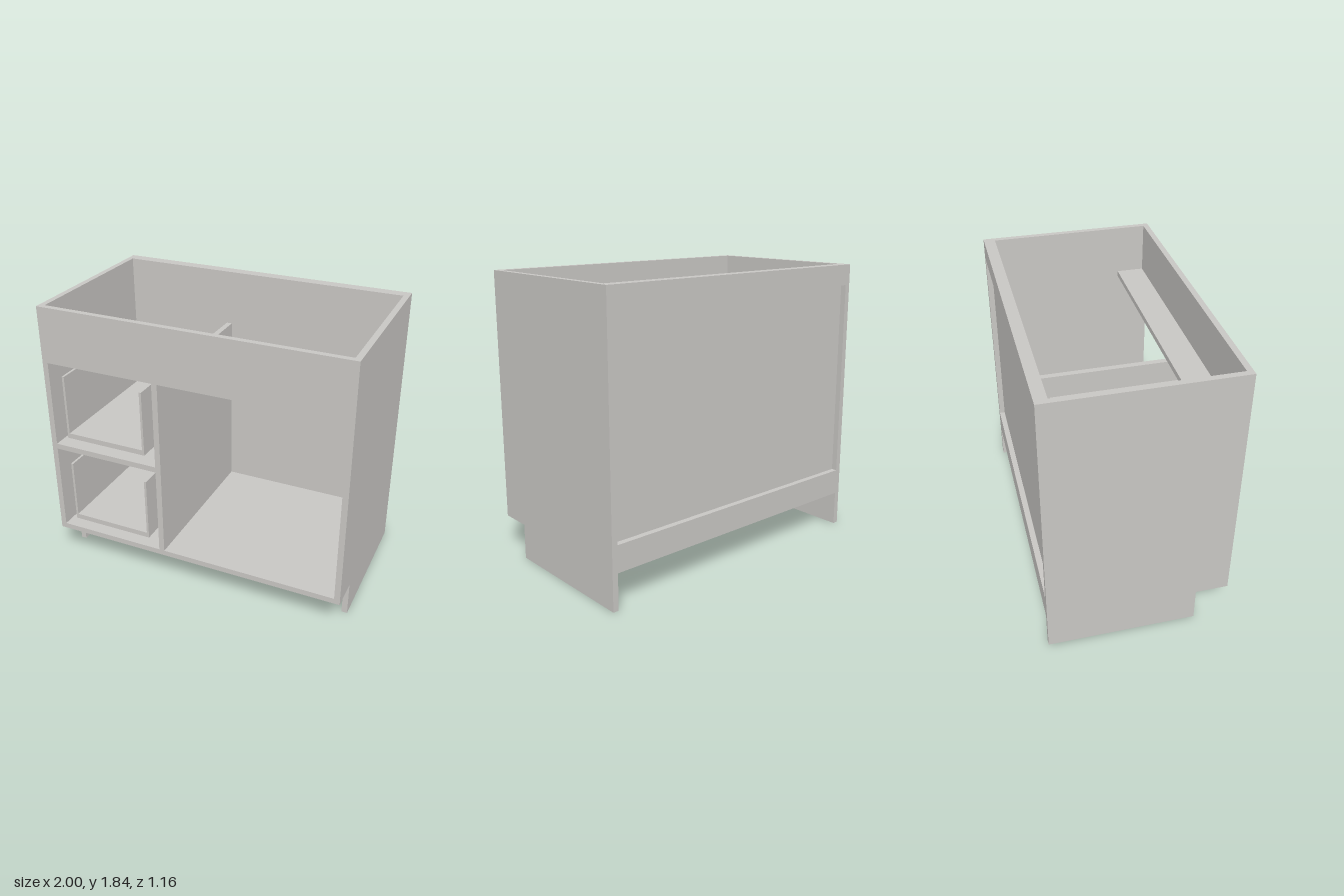
import * as THREE from 'three';

// Open-topped vanity cabinet carcass with two drawer boxes
export function createModel() {
  const root = new THREE.Group();
  root.name = 'vanityCabinet';
  const board = new THREE.MeshStandardMaterial({ color: 0xc8c6c3 });
  board.name = 'greyBoard';

  // Board given by its extents on each axis
  function panel(name, [x0, x1], [y0, y1], [z0, z1], parent = root) {
    const mesh = new THREE.Mesh(new THREE.BoxGeometry(x1 - x0, y1 - y0, z1 - z0), board);
    mesh.position.set((x0 + x1) / 2, (y0 + y1) / 2, (z0 + z1) / 2);
    mesh.name = name;
    parent.add(mesh);
  }

  const T = 0.037;              // board thickness
  const H = 1.835, D = 0.58;    // height, half depth
  const IN = 1 - T;             // inner face of the sides
  const floorY = 0.23, deckY = floorY + T;
  const openTop = 1.47;
  const span = [-IN, IN];

  // Side panels with the toe notch at the front
  const profile = new THREE.Shape([
    [-D, 0], [0.37, 0], [0.37, floorY], [D, floorY], [D, H], [-D, H],
  ].map(([z, y]) => new THREE.Vector2(-z, y)));
  const sideGeometry = new THREE.ExtrudeGeometry(profile, { depth: T, bevelEnabled: false });
  sideGeometry.rotateY(Math.PI / 2);
  for (const [name, x] of [['leftSide', IN], ['rightSide', -1]]) {
    const side = new THREE.Mesh(sideGeometry, board);
    side.position.x = x;
    side.name = name;
    root.add(side);
  }

  // Floor, front apron and the stretcher behind it
  panel('floor', span, [floorY, deckY], [-D, D]);
  panel('frontApron', span, [openTop, H], [D - T, D]);
  panel('frontStretcher', span, [openTop, openTop + T], [0.36, D - T]);

  // Recessed back panel with nailing rails
  panel('backPanel', span, [deckY, H], [-D + T, -D + 2 * T]);
  panel('backTopRail', span, [H - 0.135, H], [-D, -D + T]);
  panel('backBottomRail', span, [deckY, 0.4], [-D, -D + T]);

  // Divider and the rail between the drawer openings
  panel('divider', [-0.235, -0.198], [deckY, openTop], [-D + 2 * T, D]);
  panel('drawerRail', [-IN, -0.235], [0.86, 0.897], [0.36, D]);

  // Drawer boxes, open at the front
  function drawer(name, y0, y1) {
    const box = new THREE.Group();
    box.name = name;
    const x0 = -0.883, x1 = -0.32, t = 0.015, z0 = -0.39, z1 = 0.56;
    const base = y0 + 0.035;
    panel('drawerBottom', [x0, x1], [y0, base], [z0, z1], box);
    panel('drawerBack', [x0 + t, x1 - t], [base, y1], [z0, z0 + 0.033], box);
    panel('drawerRightSide', [x0, x0 + t], [base, y1], [z0, z1], box);
    panel('drawerLeftSide', [x1 - t, x1], [base, y1], [z0, z1], box);
    root.add(box);
  }
  drawer('upperDrawer', 0.95, 1.385);
  drawer('lowerDrawer', 0.323, 0.755);

  return root;
}
